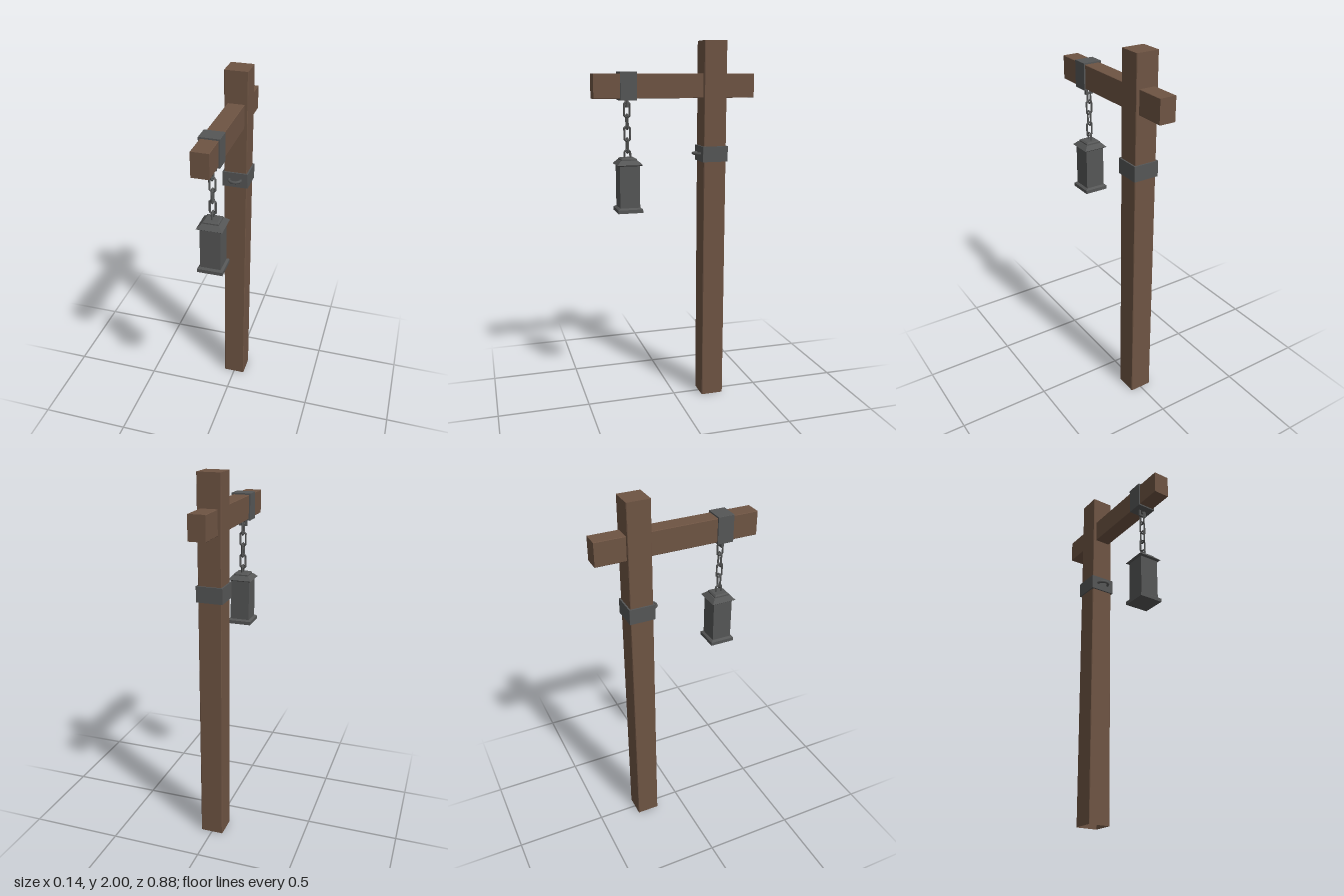
import * as THREE from 'three';

const wood = new THREE.MeshStandardMaterial({ name: 'wood', color: 0x6e5443, side: THREE.DoubleSide });
const iron = new THREE.MeshStandardMaterial({ name: 'iron', color: 0x555656 });

function add(parent, name, geometry, material, x = 0, y = 0, z = 0) {
  const mesh = new THREE.Mesh(geometry, material);
  mesh.name = name;
  mesh.position.set(x, y, z);
  parent.add(mesh);
  return mesh;
}

// Rectangle outline with small cut corners
function outline(w, h, c, Type = THREE.Shape) {
  const a = w / 2, b = h / 2;
  return new Type([
    [a - c, -b], [a, -b + c], [a, b - c], [a - c, b],
    [-a + c, b], [-a, b - c], [-a, -b + c], [-a + c, -b],
  ].map(([x, y]) => new THREE.Vector2(x, y)));
}

// Rectangular band around a timber, extruded along z
function band(w, h, wall, depth) {
  const shape = outline(w, h, 0.001);
  shape.holes.push(outline(w - 2 * wall, h - 2 * wall, 0.001, THREE.Path));
  return new THREE.ExtrudeGeometry(shape, { depth, bevelEnabled: false });
}

// Square turned profile: [half width, height] pairs from bottom to top
function squareLathe(profile) {
  const points = profile.map(([r, y]) => new THREE.Vector2(r * Math.SQRT2, y));
  const geometry = new THREE.LatheGeometry(points, 4).rotateY(Math.PI / 4).toNonIndexed();
  geometry.computeVertexNormals();
  return geometry;
}

// Angular oval chain link, wide along x
function chainLink() {
  const geometry = new THREE.TorusGeometry(0.0165, 0.006, 4, 8).rotateZ(Math.PI / 8);
  const p = geometry.attributes.position;
  for (let i = 0; i < p.count; i++) p.setY(i, p.getY(i) + Math.sign(p.getY(i)) * 0.023);
  const flat = geometry.toNonIndexed();
  flat.computeVertexNormals();
  return flat;
}

export function createModel() {
  const model = new THREE.Group();
  model.name = 'lanternPost';
  const postZ = -0.2145, lampZ = 0.257;

  // Post, open underneath
  const post = new THREE.ExtrudeGeometry(outline(0.125, 0.125, 0.003), { depth: 2, bevelEnabled: false });
  const bottomCap = 18;
  post.setIndex(Array.from({ length: post.attributes.position.count - bottomCap }, (_, i) => i + bottomCap));
  post.clearGroups();
  add(model, 'post', post.rotateX(-Math.PI / 2), wood, 0, 0, postZ);

  // Cross beam
  const beam = new THREE.ExtrudeGeometry(outline(0.09, 0.128, 0.002), { depth: 0.88, bevelEnabled: false });
  add(model, 'beam', beam, wood, 0, 1.765, -0.44);

  // Collar with a staple on its front
  add(model, 'postCollar', band(0.142, 0.142, 0.0095, 0.084).rotateX(-Math.PI / 2), iron, 0, 1.36, postZ);
  add(model, 'collarStaple', new THREE.TorusGeometry(0.032, 0.008, 6, 8, Math.PI).rotateX(Math.PI / 2),
    iron, 0, 1.403, -0.143);

  // Strap around the beam with the chain hanger below
  add(model, 'beamStrap', band(0.106, 0.146, 0.008, 0.088), iron, 0, 1.765, 0.213);
  const hanger = new THREE.Group();
  hanger.name = 'chainHanger';
  hanger.position.z = lampZ;
  model.add(hanger);
  for (const s of [-1, 1]) add(hanger, 'hangerLeg', new THREE.BoxGeometry(0.01, 0.036, 0.012), iron, s * 0.017, 1.677, 0);
  add(hanger, 'hangerBar', new THREE.BoxGeometry(0.044, 0.011, 0.012), iron, 0, 1.66, 0);

  // Chain, every other link turned
  const chain = new THREE.Group();
  chain.name = 'chain';
  chain.position.z = lampZ;
  model.add(chain);
  const link = chainLink();
  for (let i = 0; i < 5; i++) {
    add(chain, 'chainLink', link, iron, 0, 1.643 - i * 0.0625, 0).rotation.y = i % 2 ? 0 : Math.PI / 2;
  }

  // Lantern
  const lantern = new THREE.Group();
  lantern.name = 'lantern';
  lantern.position.z = lampZ;
  model.add(lantern);
  add(lantern, 'lanternBase', squareLathe([[0, 1.1], [0.067, 1.1], [0.067, 1.119], [0.056, 1.127], [0, 1.127]]), iron);
  add(lantern, 'lanternBody', new THREE.BoxGeometry(0.108, 0.24, 0.108), iron, 0, 1.241, 0);
  add(lantern, 'lanternRoof', squareLathe([[0, 1.357], [0.06, 1.351], [0.068, 1.357], [0.046, 1.379], [0, 1.379]]), iron);
  add(lantern, 'lanternCap', squareLathe([[0, 1.375], [0.042, 1.375], [0.042, 1.386], [0.034, 1.392], [0, 1.392]]), iron);

  return model;
}
